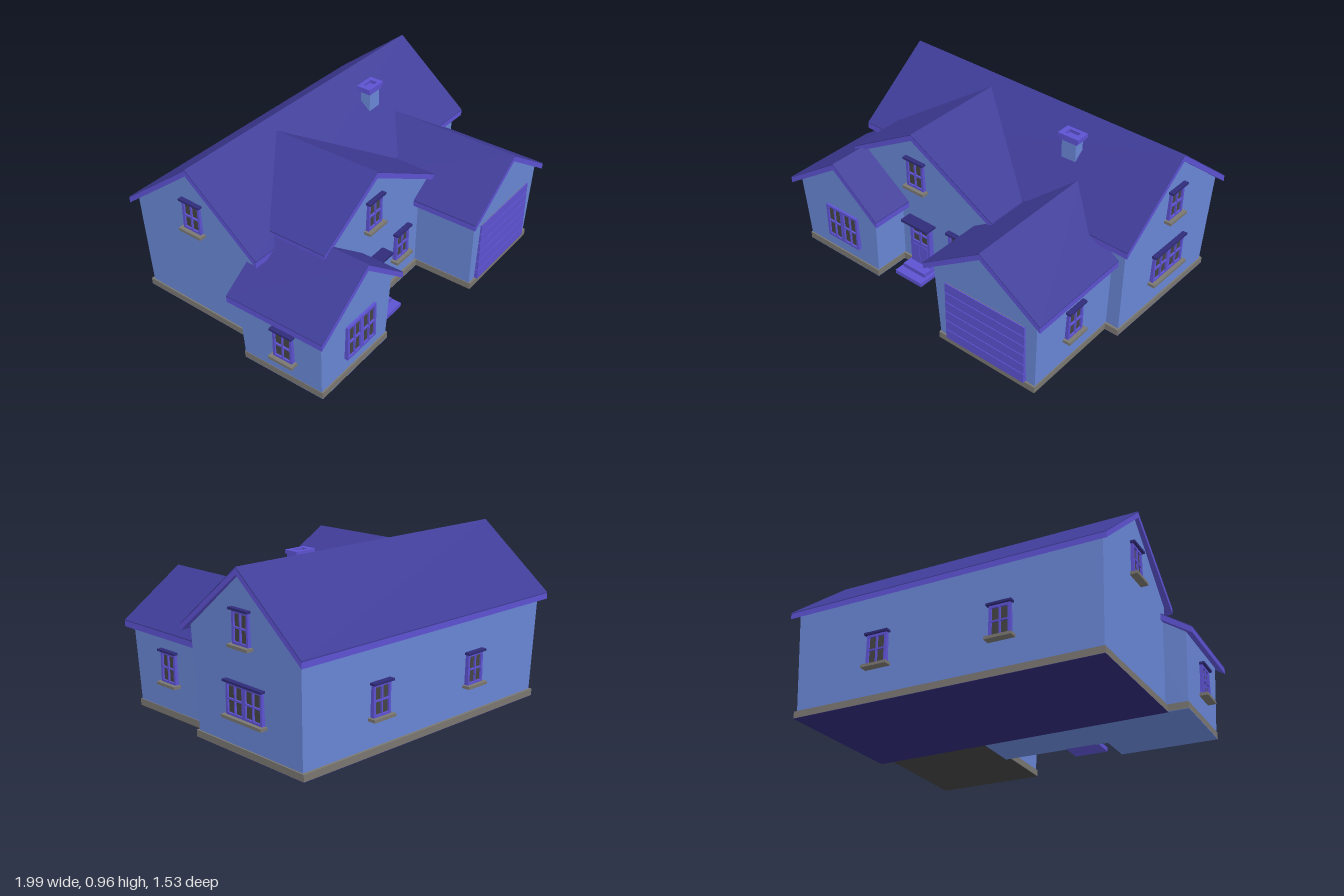
import * as THREE from 'three';

const paint = (color) => new THREE.MeshStandardMaterial({ color, flatShading: true });
const WALL = paint(0x6a88d8), ROOF = paint(0x3f3c98), TRIM = paint(0x5d52d2);
const DARK = paint(0x2f2b78), GLASS = paint(0x444444), STONE = paint(0x7a7772);

function add(parent, name, geometry, material, x = 0, y = 0, z = 0) {
  const mesh = new THREE.Mesh(geometry, material);
  mesh.name = name;
  mesh.position.set(x, y, z);
  parent.add(mesh);
  return mesh;
}

// Box given by its lower and upper limits
function block(parent, name, material, [x0, x1], [y0, y1], [z0, z1]) {
  return add(parent, name, new THREE.BoxGeometry(x1 - x0, y1 - y0, z1 - z0), material,
    (x0 + x1) / 2, (y0 + y1) / 2, (z0 + z1) / 2);
}

const polygon = (points) => new THREE.Shape(points.map(([x, y]) => new THREE.Vector2(x, y)));
const rect = (x0, y0, x1, y1) => [[x0, y0], [x1, y0], [x1, y1], [x0, y1]];
const hole = (x0, y0, x1, y1) =>
  new THREE.Path(rect(x0, y0, x1, y1).reverse().map(([x, y]) => new THREE.Vector2(x, y)));
const extrude = (shape, depth) => new THREE.ExtrudeGeometry(shape, { depth, bevelEnabled: false });

// Inverted V between two heights below the roof surface
function chevron(roof, above, below) {
  const line = [roof.left, roof.ridge, roof.right];
  return polygon([
    ...line.map(([x, y]) => [x, y - below]),
    ...line.map(([x, y]) => [x, y + above]).reverse(),
  ]);
}

// Gabled part of the house, ridge along z, with walls that lean out slightly
function gable(parent, name, { roof, roofZ, wallX, wallZ, baseX, baseZ, floor }) {
  const group = new THREE.Group();
  group.name = name;
  parent.add(group);

  const [rx, ry] = roof.ridge, lean = 0.02;
  const under = (x) => {
    const [ex, ey] = x < rx ? roof.left : roof.right;
    return ry + (ey - ry) * (x - rx) / (ex - rx) - 0.02;
  };
  const [x0, x1] = wallX, [z0, z1] = wallZ;
  const walls = extrude(polygon([
    [x0 + lean, 0.03], [x1 - lean, 0.03], [x1, under(x1)], [rx, under(rx)], [x0, under(x0)],
  ]), z1 - z0);
  const p = walls.attributes.position;
  for (let i = 0; i < p.count; i++) {
    const inset = lean * (1 - p.getY(i) / 0.55);
    p.setZ(i, p.getZ(i) + (p.getZ(i) > 0.001 ? -inset : inset));
  }
  walls.computeVertexNormals();
  add(group, 'walls', walls, WALL, 0, 0, z0);

  const length = roofZ[1] - roofZ[0];
  add(group, 'roofTrim', extrude(chevron(roof, -0.005, 0.038), length), TRIM, 0, 0, roofZ[0]);
  add(group, 'roofCovering', extrude(chevron(roof, 0, 0.006), length), ROOF, 0, 0, roofZ[0]);
  block(group, 'foundation', STONE, baseX, [0.002, 0.04], baseZ);
  block(group, 'floor', floor, baseX, [0, 0.002], baseZ);
  return group;
}

// Window standing on y, facing +z before turning; each unit has 2 x 2 panes
function addWindow(parent, x, y, z, turn, { w = 0.12, h = 0.17, units = 1, ledges = true } = {}) {
  const group = new THREE.Group();
  group.name = 'window';
  group.position.set(x, y, z);
  group.rotation.y = turn;
  parent.add(group);

  const frame = polygon(rect(-w / 2, 0, w / 2, h));
  const unit = w / units, edge = 0.014, bar = 0.008;
  const paneW = (unit - 2 * edge - bar) / 2, paneH = (h - 2 * edge - bar) / 2;
  for (let u = 0; u < units; u++) for (let c = 0; c < 2; c++) for (let r = 0; r < 2; r++) {
    const px = -w / 2 + u * unit + edge + c * (paneW + bar);
    const py = edge + r * (paneH + bar);
    frame.holes.push(hole(px, py, px + paneW, py + paneH));
  }
  add(group, 'windowFrame', extrude(frame, 0.03), TRIM, 0, 0, -0.01);
  block(group, 'glass', GLASS, [-w / 2 + 0.01, w / 2 - 0.01], [0.01, h - 0.01], [-0.008, 0.01]);
  if (ledges) {
    block(group, 'lintel', DARK, [-w / 2 - 0.01, w / 2 + 0.01], [h, h + 0.012], [-0.01, 0.034]);
    block(group, 'sill', STONE, [-w / 2 - 0.015, w / 2 + 0.015], [-0.014, 0.002], [-0.01, 0.042]);
  }
}

export function createModel() {
  const house = new THREE.Group();
  house.name = 'house';
  const right = Math.PI / 2, left = -Math.PI / 2;

  // Main block: ridge turned along x, slightly off square
  const main = gable(house, 'mainBlock', {
    roof: { left: [-0.447, 0.605], ridge: [0, 0.96], right: [0.447, 0.605] },
    roofZ: [-0.92, 0.92], wallX: [-0.41, 0.41], wallZ: [-0.885, 0.885],
    baseX: [-0.405, 0.405], baseZ: [-0.875, 0.875], floor: DARK,
  });
  main.position.set(0.057, 0, -0.3);
  main.rotation.y = Math.PI / 2 - 0.024;
  addWindow(main, 0, 0.2, 0.873, 0, { w: 0.27, units: 2 });
  addWindow(main, 0, 0.575, 0.885, 0);
  addWindow(main, 0, 0.575, -0.885, Math.PI);
  for (const z of [0.37, -0.34]) addWindow(main, 0.4, 0.2, z, right);

  // Tall gable over the entrance
  gable(house, 'entranceGable', {
    roof: { left: [-0.69, 0.66], ridge: [-0.25, 0.91], right: [0.3, 0.6] },
    roofZ: [-0.27, 0.405], wallX: [-0.64, 0.26], wallZ: [-0.1, 0.375],
    baseX: [-0.62, 0.24], baseZ: [-0.1, 0.37], floor: WALL,
  });
  addWindow(house, -0.245, 0.565, 0.375, 0);
  addWindow(house, 0.035, 0.19, 0.366, 0);

  // Left wing
  gable(house, 'leftWing', {
    roof: { left: [-1, 0.43], ridge: [-0.63, 0.675], right: [-0.325, 0.43] },
    roofZ: [0.03, 0.625], wallX: [-0.957, -0.37], wallZ: [0.06, 0.59],
    baseX: [-0.94, -0.385], baseZ: [0.075, 0.58], floor: WALL,
  });
  addWindow(house, -0.635, 0.128, 0.577, 0, { w: 0.24, h: 0.212, units: 2, ledges: false });
  addWindow(house, -0.947, 0.155, 0.35, left);

  // Garage wing
  gable(house, 'garageWing', {
    roof: { left: [0.15, 0.495], ridge: [0.522, 0.742], right: [0.893, 0.495] },
    roofZ: [-0.05, 0.763], wallX: [0.195, 0.855], wallZ: [-0.02, 0.735],
    baseX: [0.21, 0.84], baseZ: [0, 0.727], floor: GLASS,
  });
  addWindow(house, 0.844, 0.2, 0.43, right);

  // Garage door with grooves between its panels
  const panels = 6, panelH = 0.062;
  block(house, 'garageDoorBacking', STONE, [0.275, 0.775], [0.042, 0.41], [0.7, 0.732]);
  for (let i = 0; i < panels; i++) {
    const y = 0.042 + i * panelH;
    block(house, 'garageDoorPanel', TRIM, [0.27, 0.78], [y, y + panelH - 0.005], [0.7, 0.738]);
  }

  // Front door with four small panes, header and steps
  const door = polygon(rect(-0.072, 0.04, 0.072, 0.335));
  for (const x of [-0.054, 0.006]) for (const y of [0.2, 0.26])
    door.holes.push(hole(x, y, x + 0.048, y + 0.05));
  add(house, 'frontDoor', extrude(door, 0.03), TRIM, -0.232, 0, 0.362);
  block(house, 'doorGlass', GLASS, [-0.29, -0.174], [0.195, 0.315], [0.362, 0.382]);
  block(house, 'doorHeader', DARK, [-0.325, -0.135], [0.333, 0.347], [0.36, 0.44]);
  for (const x of [-0.262, -0.202])
    block(house, 'doorPanel', TRIM, [x - 0.024, x + 0.024], [0.07, 0.18], [0.37, 0.396]);
  block(house, 'upperStep', TRIM, [-0.315, -0.155], [0, 0.05], [0.36, 0.45]);
  block(house, 'lowerStep', TRIM, [-0.33, -0.137], [0, 0.025], [0.36, 0.5]);

  // Chimney with an open cap
  block(house, 'chimneyStack', WALL, [0.365, 0.455], [0.7, 0.91], [-0.14, -0.08]);
  const cap = polygon(rect(-0.065, -0.043, 0.065, 0.043));
  cap.holes.push(hole(-0.035, -0.022, 0.035, 0.022));
  add(house, 'chimneyCap', extrude(cap, 0.02), TRIM, 0.41, 0.918, -0.112).rotation.x = -Math.PI / 2;
  block(house, 'chimneyCollar', TRIM, [0.355, 0.465], [0.9, 0.919], [-0.148, -0.073]);

  return house;
}
